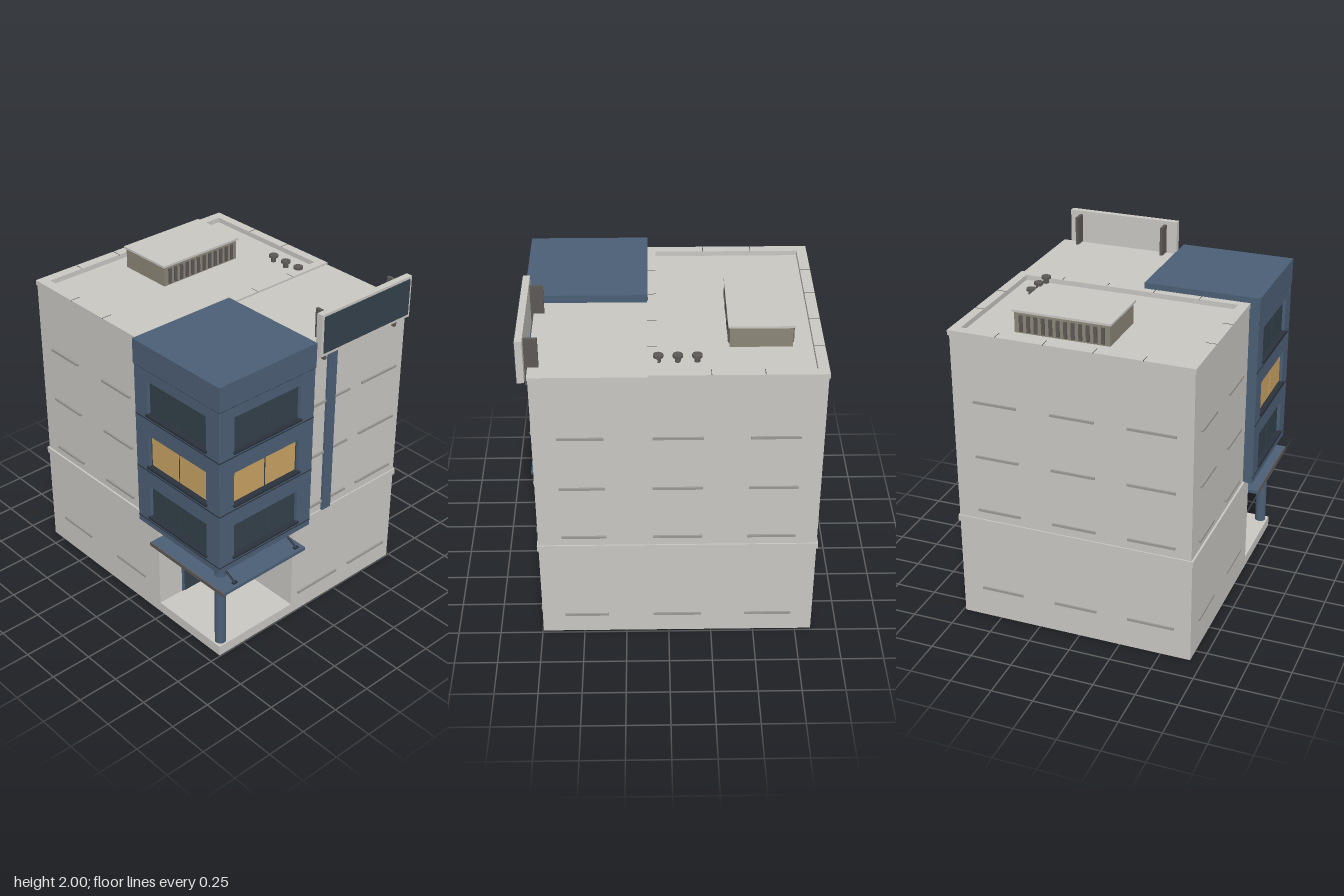
import * as THREE from 'three';

const mat = (name, color) => {
  const m = new THREE.MeshStandardMaterial({ color });
  m.name = name;
  return m;
};

export function createModel() {
  const wall = mat('pale wall', 0xc9c7c2);
  const blue = mat('slate blue', 0x4c5f76);
  const glass = mat('dark glass', 0x33414a);
  const amber = mat('lit glass', 0xc9a364);
  const dark = mat('dark trim', 0x2a323c);
  const grey = mat('dark metal', 0x5c5855);
  const taupe = mat('roof unit', 0x8c8678);
  const strip = mat('wall strip', 0x9c9994);

  const model = new THREE.Group();
  model.name = 'cornerBuilding';

  const add = (name, geo, material, parent = model) => {
    const mesh = new THREE.Mesh(geo, material);
    mesh.name = name;
    parent.add(mesh);
    return mesh;
  };
  // Box given by its limits on each axis
  const box = (name, material, [x0, x1], [y0, y1], [z0, z1], parent) => {
    const mesh = add(name, new THREE.BoxGeometry(x1 - x0, y1 - y0, z1 - z0), material, parent);
    mesh.position.set((x0 + x1) / 2, (y0 + y1) / 2, (z0 + z1) / 2);
    return mesh;
  };
  const cylinder = (name, material, r, [y0, y1], x, z, sides = 16) => {
    const mesh = add(name, new THREE.CylinderGeometry(r, r, y1 - y0, sides), material);
    mesh.position.set(x, (y0 + y1) / 2, z);
    return mesh;
  };

  // Ground floor with an open corner entrance
  box('baseSlab', wall, [-0.845, 0.745], [0, 0.065], [-0.735, 0.68]);
  box('groundFloorLeft', wall, [-0.845, 0.215], [0.065, 0.625], [-0.735, 0.68]);
  box('groundFloorBack', wall, [0.215, 0.745], [0.065, 0.625], [-0.735, 0.11]);
  box('ledge', wall, [-0.853, 0.753], [0.622, 0.66], [-0.743, 0.687]);

  // Upper floors and roof
  box('upperFloors', wall, [-0.845, 0.745], [0.66, 1.785], [-0.735, 0.675]);
  box('sideRoof', wall, [0.1, 0.75], [1.785, 1.803], [-0.742, 0.1]);
  for (const [x0, x1] of [[-0.85, -0.79], [0.06, 0.113]]) {
    box('parapetSide', wall, [x0, x1], [1.785, 1.815], [-0.745, 0.68]);
    for (const z of [-0.46, -0.18, 0.11, 0.39])
      box('parapetJoint', grey, [x0, x1], [1.81, 1.816], [z - 0.002, z + 0.002]);
  }
  for (const [z0, z1] of [[-0.745, -0.69], [0.62, 0.68]]) {
    box('parapetEnd', wall, [-0.79, 0.06], [1.785, 1.815], [z0, z1]);
    for (const x of [-0.51, -0.225])
      box('parapetJoint', grey, [x - 0.002, x + 0.002], [1.81, 1.816], [z0, z1]);
  }

  // Rooftop unit with side louvres
  box('roofUnitBody', taupe, [-0.68, -0.335], [1.785, 1.907], [-0.42, 0.14]);
  box('roofUnitLid', wall, [-0.69, -0.325], [1.907, 1.92], [-0.43, 0.15]);
  for (let i = 0; i < 12; i++) {
    const z = -0.38 + i * 0.0436;
    for (const x of [-0.68, -0.335])
      box('louvre', grey, [x - 0.008, x + 0.008], [1.795, 1.89], [z - 0.01, z + 0.01]);
  }

  // Roof vents
  for (const x of [-0.155, -0.05, 0.055]) {
    cylinder('ventPipe', grey, 0.016, [1.785, 1.817], x, -0.56);
    cylinder('ventCap', grey, 0.028, [1.815, 1.829], x, -0.56);
  }

  // Thin strips on the four walls
  const upper = [0.72, 1.065, 1.405];
  const strips = (rows, spans, place) => {
    for (const y of rows) for (const s of spans) place([y - 0.007, y + 0.007], s);
  };
  const frontStrip = (y, s) => box('frontStrip', strip, s, y, [0.67, 0.688]);
  strips([0.19], [[-0.715, -0.44], [-0.185, 0.085]], frontStrip);
  strips(upper, [[-0.73, -0.48], [-0.255, 0]], frontStrip);
  const rightStrip = (y, s) => box('sideStrip', strip, [0.735, 0.755], y, s);
  strips([0.13], [[-0.265, 0.06], [-0.685, -0.365]], rightStrip);
  strips(upper, [[-0.3, -0.01], [-0.685, -0.395]], rightStrip);
  strips([0.13, ...upper], [[0.355, 0.61], [-0.19, 0.09], [-0.72, -0.445]],
    (y, s) => box('backStrip', strip, s, y, [-0.745, -0.73]));
  strips([0.19, ...upper], [[-0.61, -0.35], [-0.15, 0.11], [0.3, 0.58]],
    (y, s) => box('sideStrip', strip, [-0.855, -0.84], y, s));

  // Projecting corner bay
  box('bayCore', blue, [0.11, 0.775], [0.656, 1.7], [0.04, 0.705]);
  box('bayCap', blue, [0.108, 0.807], [1.7, 1.85], [0.038, 0.737]);

  const windows = [[0.727, 0.94, glass], [1.072, 1.282, amber], [1.415, 1.63, glass]];
  const half = 0.3465, hw = 0.24;
  const rect = (Type, x0, x1, y0, y1) => new Type([
    [x0, y0], [x1, y0], [x1, y1], [x0, y1],
  ].map(([x, y]) => new THREE.Vector2(x, y)));

  // One face of the bay, looking along its own +z, with z = 0 as the surface
  const bayFace = (name, x, z, turn) => {
    const face = new THREE.Group();
    face.name = name;
    face.position.set(x, 0, z);
    face.rotation.y = turn;
    model.add(face);
    const shape = rect(THREE.Shape, -half, half, 0.656, 1.7);
    for (const [y0, y1] of windows) shape.holes.push(rect(THREE.Path, -hw, hw, y0, y1));
    const panel = new THREE.ExtrudeGeometry(shape, { depth: 0.03, bevelEnabled: false });
    panel.translate(0, 0, -0.03);
    add('bayPanel', panel, blue, face);
    for (const [y0, y1, pane] of windows) {
      box('windowFrame', glass, [-hw, hw], [y0, y1], [-0.03, -0.02], face);
      for (const [a, b] of [[-hw + 0.012, -0.006], [0.006, hw - 0.012]])
        box('windowPane', pane, [a, b], [y0 + 0.012, y1 - 0.012], [-0.022, -0.016], face);
      box('windowSill', dark, [-hw - 0.008, hw + 0.008], [y0 - 0.009, y0 + 0.005], [-0.02, 0.012], face);
    }
    for (const y of [0.695, 1.04, 1.385, 1.699])
      box('bayJoint', dark, [-half, half], [y - 0.003, y + 0.003], [-0.004, 0.002], face);
  };
  bayFace('bayFront', 0.4575, 0.733, 0);
  bayFace('baySide', 0.803, 0.3875, Math.PI / 2);

  // Entrance canopy, column and stays
  box('canopy', blue, [0.215, 0.845], [0.53, 0.55], [0.11, 0.738]);
  box('canopyFrontEdge', grey, [0.215, 0.845], [0.528, 0.55], [0.738, 0.744]);
  cylinder('entranceColumn', blue, 0.033, [0.065, 0.625], 0.702, 0.635, 20);
  for (const z of [0.155, 0.63]) {
    const path = new THREE.LineCurve3(new THREE.Vector3(0.735, 0.595, z), new THREE.Vector3(0.82, 0.552, z));
    add('canopyStay', new THREE.TubeGeometry(path, 1, 0.006, 8), dark);
    box('stayFoot', dark, [0.805, 0.825], [0.549, 0.557], [z - 0.016, z + 0.016]);
  }

  // Entrance door
  box('doorFrame', blue, [0.21, 0.221], [0.065, 0.475], [0.32, 0.51]);
  box('doorLeaf', glass, [0.215, 0.224], [0.066, 0.46], [0.337, 0.493]);
  box('doorHandle', grey, [0.222, 0.232], [0.18, 0.335], [0.411, 0.419]);

  // Blue wall fin below the roof board
  box('wallFin', blue, [0.74, 0.76], [0.66, 1.75], [-0.175, -0.108]);

  // Blank roof board on two brackets
  box('boardFrame', wall, [0.765, 0.804], [1.745, 2], [-0.7, 0.005]);
  box('boardPanel', glass, [0.803, 0.81], [1.765, 1.985], [-0.683, -0.013]);
  for (const z of [-0.07, -0.63])
    box('boardBracket', grey, [0.69, 0.767], [1.69, 1.978], [z - 0.009, z + 0.009]);

  return model;
}
